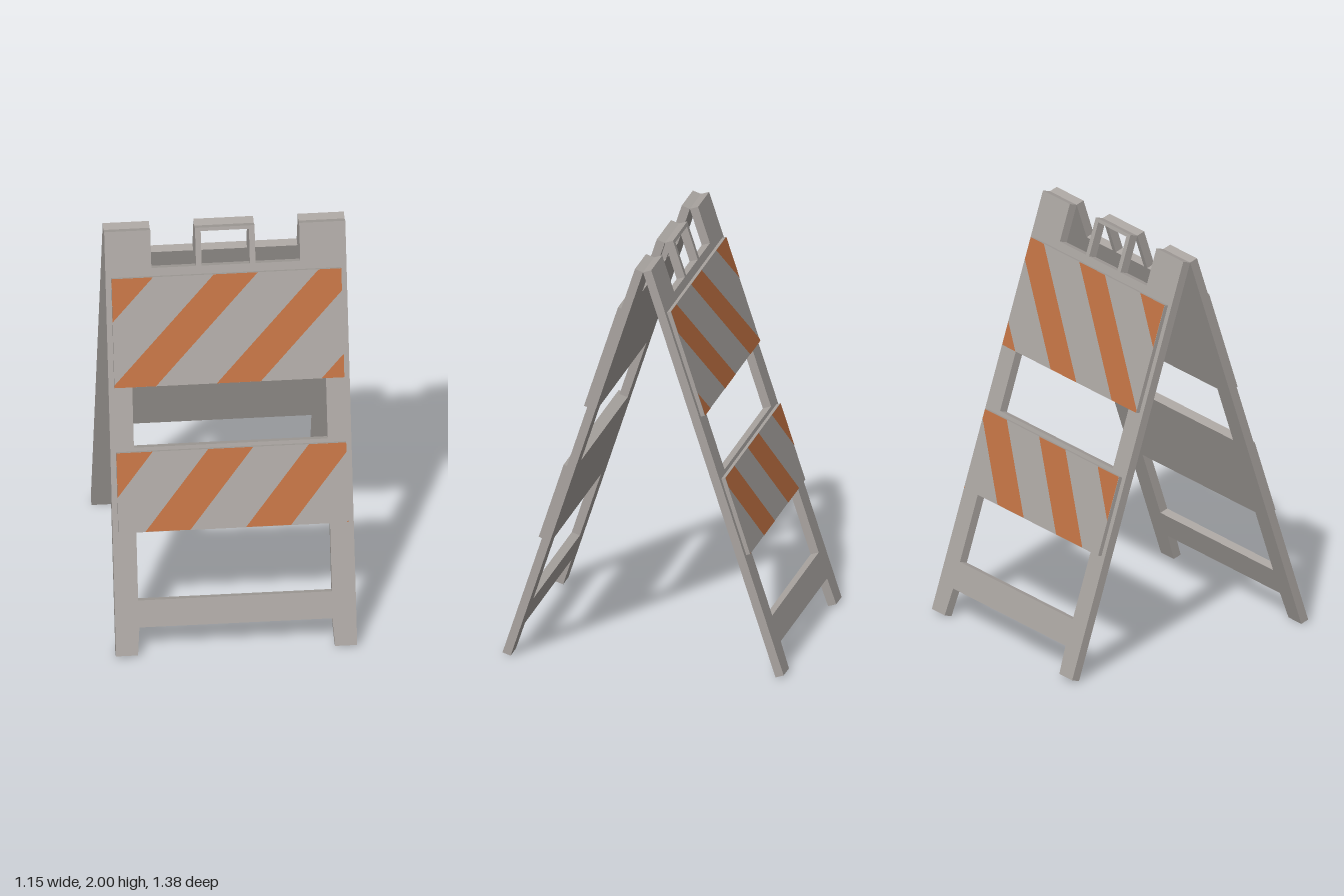
import * as THREE from 'three';

const TILT = Math.atan(0.648 / 1.987);
const THICK = 0.042, PANEL_THICK = 0.02;
const LENGTH = 2.09, HALF = 0.575, PANEL_HALF = 0.548;

const grey = new THREE.MeshStandardMaterial({ color: 0xa9a4a0 });
grey.name = 'greyPlastic';
const orange = new THREE.MeshStandardMaterial({ color: 0xbd7042 });
orange.name = 'orangeStripe';

function addMesh(parent, name, geometry, material) {
  const mesh = new THREE.Mesh(geometry, material);
  mesh.name = name;
  parent.add(mesh);
  return mesh;
}

const toShape = (pts) => new THREE.Shape(pts.map(([x, y]) => new THREE.Vector2(x, y)));

function rectHole(halfWidth, y0, y1) {
  return new THREE.Path([
    new THREE.Vector2(-halfWidth, y0), new THREE.Vector2(-halfWidth, y1),
    new THREE.Vector2(halfWidth, y1), new THREE.Vector2(halfWidth, y0),
  ]);
}

// Keep the part of a polygon where sign * x <= limit
function clipX(pts, sign, limit) {
  const out = [];
  pts.forEach((a, i) => {
    const b = pts[(i + 1) % pts.length];
    const da = sign * a[0] - limit, db = sign * b[0] - limit;
    if (da <= 0) out.push(a);
    if (da * db < 0) {
      const t = da / (da - db);
      out.push([a[0] + (b[0] - a[0]) * t, a[1] + (b[1] - a[1]) * t]);
    }
  });
  return out;
}

// Frame with feet, two windows, two top notches and a carrying handle
function frameGeometry() {
  const right = [
    [0.46, 0.137], [0.47, 0], [HALF, 0], [HALF, LENGTH],
    [0.355, LENGTH], [0.355, 1.903], [0.142, 1.903], [0.142, LENGTH],
  ];
  const left = right.map(([x, y]) => [-x, y]).reverse();
  const shape = toShape([...right, ...left]);
  shape.holes.push(
    rectHole(0.462, 0.27, 0.605),
    rectHole(0.462, 1.023, 1.32),
    rectHole(0.115, 1.903, 2.073),
  );
  return new THREE.ExtrudeGeometry(shape, { depth: THICK, bevelEnabled: false });
}

const PANELS = [
  { name: 'upperPanel', y0: 1.326, y1: 1.863, first: -1.06, period: 0.5, width: 0.21, shear: 0.5 },
  { name: 'lowerPanel', y0: 0.612, y1: 1.005, first: -0.9, period: 0.48, width: 0.215, shear: 0.31 },
];

// Sign panel with slanted stripes; flip mirrors the slant
function addPanel(leaf, p, flip) {
  const group = new THREE.Group();
  group.name = p.name;
  leaf.add(group);
  const board = addMesh(group, 'board',
    new THREE.BoxGeometry(PANEL_HALF * 2, p.y1 - p.y0, PANEL_THICK), grey);
  board.position.set(0, (p.y0 + p.y1) / 2, THICK + PANEL_THICK / 2);

  for (let i = 0; i < 4; i++) {
    const x = p.first + i * p.period;
    let pts = [
      [x, p.y0], [x + p.width, p.y0],
      [x + p.width + p.shear, p.y1], [x + p.shear, p.y1],
    ];
    pts = clipX(clipX(pts, 1, PANEL_HALF), -1, PANEL_HALF);
    if (pts.length < 3) continue;
    const shape = toShape(pts.map(([px, py]) => [px * flip, py]));
    const stripe = addMesh(group, 'stripe', new THREE.ShapeGeometry(shape), orange);
    stripe.position.z = THICK + PANEL_THICK + 0.0015;
  }
}

// One leaning half of the folding stand
function makeLeaf(name, flip) {
  const leaf = new THREE.Group();
  addMesh(leaf, 'frame', frameGeometry(), grey);
  PANELS.forEach((p) => addPanel(leaf, p, flip));
  leaf.position.z = 0.648;
  leaf.rotation.x = -TILT;
  const holder = new THREE.Group();
  holder.name = name;
  holder.add(leaf);
  return holder;
}

export function createModel() {
  const model = new THREE.Group();
  model.name = 'foldingBarricade';
  const front = makeLeaf('frontLeaf', 1);
  const back = makeLeaf('backLeaf', -1);
  back.rotation.y = Math.PI;
  model.add(front, back);
  return model;
}
